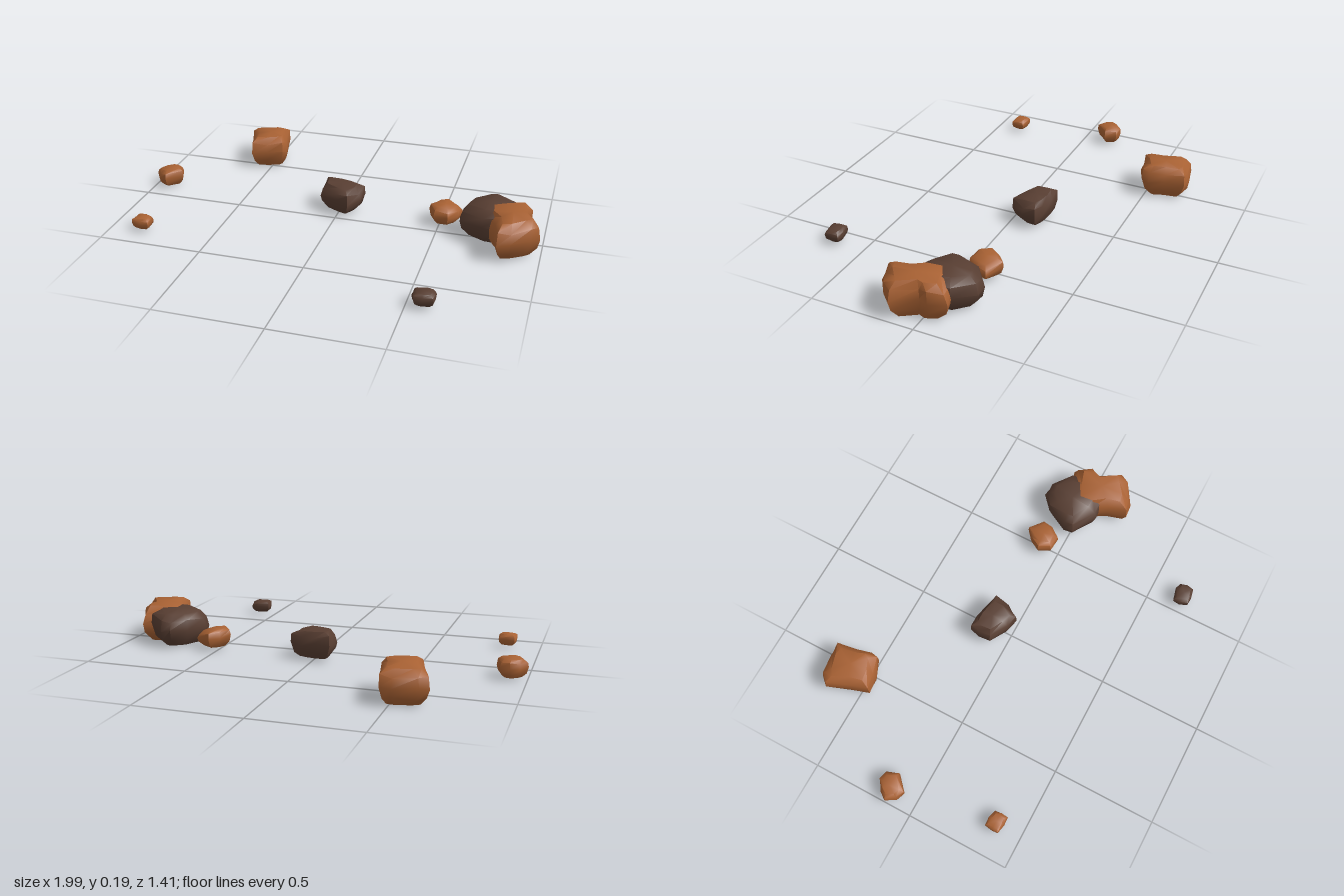
import * as THREE from 'three';
import { toCreasedNormals } from 'three/addons/utils/BufferGeometryUtils.js';

// Rings of a rock: [height fraction, outline scale]
const RINGS = [[0, 0.66], [0.22, 0.92], [0.52, 1], [0.8, 0.95], [0.97, 0.68]];

// Loft a footprint (listed clockwise from above) through the rings.
// tiltX and tiltZ slope the top; rough varies the heights of the corners.
function rockGeometry(outline, y0, y1, tiltX = 0, tiltZ = 0, rough = 0.05) {
  const n = outline.length, h = y1 - y0;
  const cx = outline.reduce((s, p) => s + p[0], 0) / n;
  const cz = outline.reduce((s, p) => s + p[1], 0) / n;
  const pos = [], index = [];
  RINGS.forEach(([f, s], i) => outline.forEach(([x, z], j) => {
    const wobble = Math.sin(j * 2.4 + i * 1.7 + cx * 9);
    const k = s * (i === 2 ? 1 : 1 + 0.05 * (wobble - 0.4));
    const px = (x - cx) * k, pz = (z - cz) * k;
    let y = y0 + h * (f + (i > 0 && i < 4 ? rough * wobble : 0));
    y += f * (tiltX * px + tiltZ * pz);
    pos.push(cx + px, THREE.MathUtils.clamp(y, y0, y1), cz + pz);
  }));
  const bottom = RINGS.length * n, top = bottom + 1, last = (RINGS.length - 1) * n;
  pos.push(cx, y0, cz, cx, y1, cz);
  for (let j = 0; j < n; j++) {
    const k = (j + 1) % n;
    for (let r = 0; r < last; r += n) {
      index.push(r + k, r + j, r + n + j, r + k, r + n + j, r + n + k);
    }
    index.push(bottom, j, k, top, last + k, last + j);
  }
  const g = new THREE.BufferGeometry();
  g.setAttribute('position', new THREE.Float32BufferAttribute(pos, 3));
  g.setIndex(index);
  return toCreasedNormals(g, 0.85);
}

export function createModel() {
  const group = new THREE.Group();
  const rust = new THREE.MeshStandardMaterial({ color: 0xa86133 });
  rust.name = 'rust stone';
  const brown = new THREE.MeshStandardMaterial({ color: 0x583e32 });
  brown.name = 'dark brown stone';

  const add = (name, material, ...shape) => {
    const mesh = new THREE.Mesh(rockGeometry(...shape), material);
    mesh.name = name;
    group.add(mesh);
  };

  // Boulder at the back
  add('backBoulder', rust, [[-0.665, -0.647], [-0.628, -0.684], [-0.516, -0.706], [-0.463, -0.695],
    [-0.44, -0.6], [-0.422, -0.519], [-0.436, -0.486], [-0.516, -0.452], [-0.596, -0.444],
    [-0.625, -0.535]], 0.005, 0.17, 0.03, 0.05);

  // Overlapping pair of boulders on the left
  add('largeBoulder', rust, [[0.725, -0.043], [0.805, -0.096], [0.912, -0.118], [0.94, -0.037],
    [0.928, 0.005], [0.992, 0.118], [0.955, 0.16], [0.87, 0.22], [0.81, 0.225], [0.783, 0.134],
    [0.735, 0.053]], 0.005, 0.19, 0.05, 0);
  add('darkBoulder', brown, [[0.607, -0.027], [0.66, -0.134], [0.725, -0.193], [0.778, -0.187],
    [0.87, -0.107], [0.885, 0], [0.8, 0.09], [0.725, 0.096], [0.612, 0.02]], 0.01, 0.178, 0.08, 0.05);

  // Medium stone in the middle
  add('middleStone', brown, [[-0.1, -0.134], [-0.088, -0.176], [-0.013, -0.182], [0.06, -0.163],
    [0.115, -0.144], [0.11, -0.075], [0.06, -0.003], [-0.003, -0.016], [-0.094, -0.07]],
  0.015, 0.148, -0.05, 0, 0.08);

  // Small scattered stones
  add('smallLeftStone', rust, [[0.447, -0.09], [0.48, -0.145], [0.525, -0.182], [0.607, -0.134],
    [0.59, -0.08], [0.548, -0.025], [0.479, -0.032]], 0.02, 0.11, -0.2, 0);
  add('smallRightStone', rust, [[-1, -0.128], [-0.97, -0.168], [-0.925, -0.195], [-0.88, -0.187],
    [-0.858, -0.128], [-0.928, -0.062], [-0.97, -0.08]], 0.012, 0.1, 0.1, 0);
  add('rightPebble', rust, [[-0.887, 0.37], [-0.88, 0.332], [-0.84, 0.33], [-0.8, 0.342],
    [-0.797, 0.375], [-0.8, 0.408], [-0.84, 0.41], [-0.885, 0.4]], 0.02, 0.075);
  add('frontPebble', brown, [[0.523, 0.66], [0.527, 0.626], [0.59, 0.61], [0.623, 0.62],
    [0.626, 0.655], [0.623, 0.69], [0.575, 0.7], [0.537, 0.697]], 0.02, 0.08);

  return group;
}
